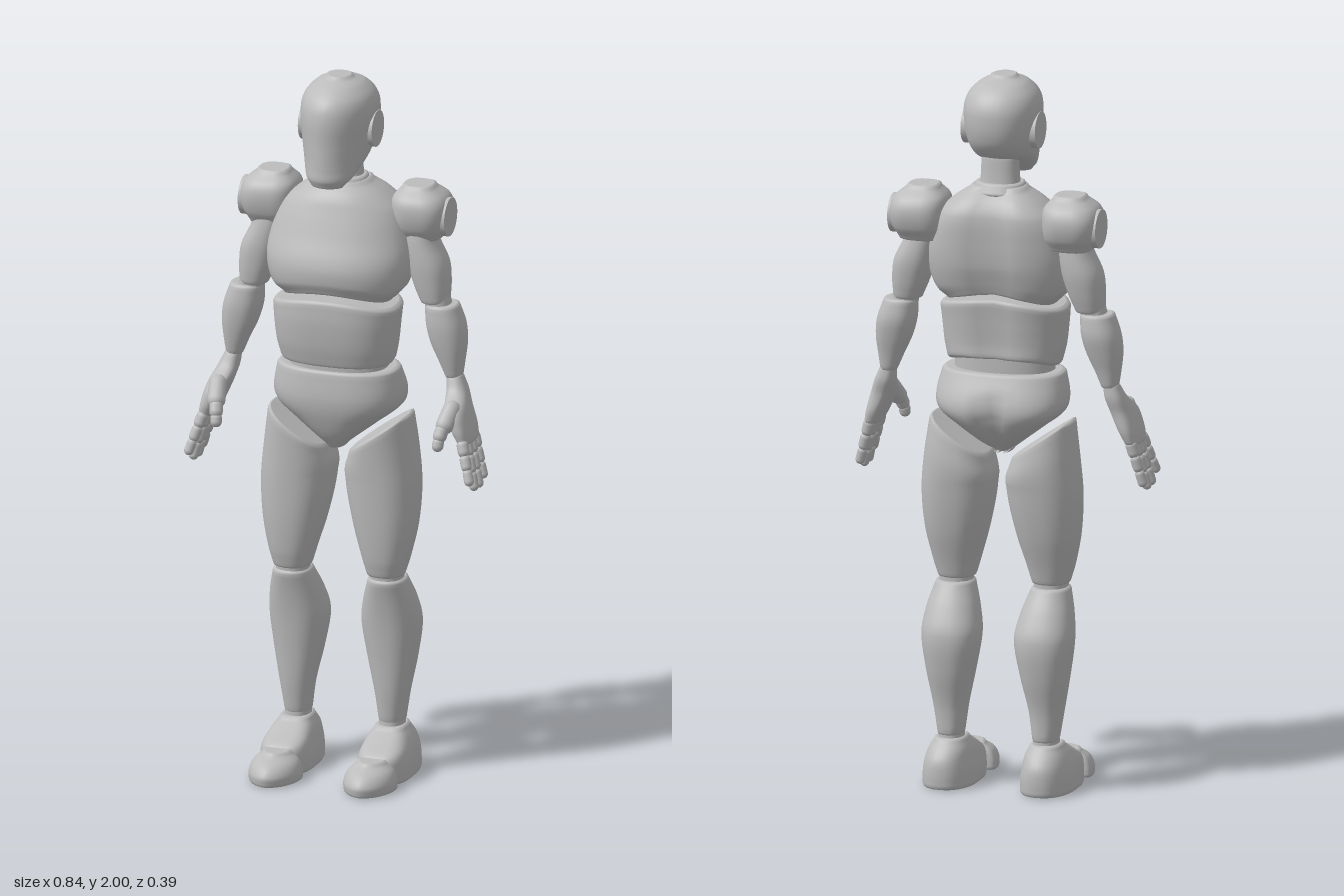
import * as THREE from 'three';

const grey = new THREE.MeshStandardMaterial({ color: 0xbcbcbc });
grey.name = 'plainGrey';

const SIDES = 36, STEPS = 5;
const clamp = (v) => Math.min(1, Math.max(0, v));
const bump = (x, w) => Math.exp(-((x / w) ** 2));

// Smoothly fill in between the given cross-sections (first value is height)
function smoothRows(rows) {
  const out = [];
  const slope = (i, k) => {
    const a = rows[Math.max(0, i - 1)], b = rows[Math.min(rows.length - 1, i + 1)];
    return (b[k] - a[k]) / (b[0] - a[0]);
  };
  for (let i = 0; i < rows.length - 1; i++) {
    const h = rows[i + 1][0] - rows[i][0];
    for (let s = 0; s < STEPS; s++) {
      const t = s / STEPS, t2 = t * t, t3 = t2 * t;
      out.push(rows[i].map((v, k) => k === 0 ? v + h * t :
        (2 * t3 - 3 * t2 + 1) * v + (t3 - 2 * t2 + t) * h * slope(i, k) +
        (3 * t2 - 2 * t3) * rows[i + 1][k] + (t3 - t2) * h * slope(i + 1, k)));
    }
  }
  out.push(rows[rows.length - 1]);
  return out;
}

// Shrink a cross-section towards its middle, for the bevelled ends
function inset([y, x, rx, zb, zf], dy, d) {
  const m = (zb + zf) / 2, h = (zf - zb) / 2;
  const k = 1 - d / Math.min(rx, h);
  return [y + dy, x, rx * k, m - h * k, m + h * k];
}

// Stack of rounded cross-sections [y, x, halfWidth, zBack, zFront]
function loft(name, rows, { back = 2.3, front = 2.3, mid = 0.5, bevel = 0.008, warp } = {}) {
  const body = smoothRows(rows);
  const first = body[0], last = body[body.length - 1];
  const rings = [inset(first, -bevel, bevel), inset(first, -bevel * 0.7, bevel * 0.3), ...body,
    inset(last, bevel * 0.7, bevel * 0.3), inset(last, bevel, bevel)];
  const pos = [], index = [];
  const addRing = ([y, x, rx, zb, zf]) => {
    const zc = zb + (zf - zb) * mid;
    for (let j = 0; j < SIDES; j++) {
      const a = (j / SIDES) * Math.PI * 2, c = Math.cos(a), s = Math.sin(a);
      const e = 2 / (s < 0 ? back : front);
      const p = new THREE.Vector3(
        x + rx * Math.sign(c) * Math.abs(c) ** e, y,
        zc + (s < 0 ? zc - zb : zf - zc) * Math.sign(s) * Math.abs(s) ** e);
      if (warp) warp(p);
      pos.push(p.x, p.y, p.z);
    }
  };
  rings.forEach(addRing);
  for (let i = 0; i < rings.length - 1; i++) {
    for (let j = 0; j < SIDES; j++) {
      const a = i * SIDES + j, b = i * SIDES + (j + 1) % SIDES;
      index.push(a, a + SIDES, b, b, a + SIDES, b + SIDES);
    }
  }
  // End caps with their own vertices, so the rim stays crisp
  for (const top of [false, true]) {
    const base = pos.length / 3;
    const ring = top ? rings[rings.length - 1] : rings[0];
    addRing(ring);
    const c = new THREE.Vector3(ring[1], ring[0], (ring[3] + ring[4]) / 2);
    if (warp) warp(c);
    pos.push(c.x, c.y, c.z);
    for (let j = 0; j < SIDES; j++) {
      const a = base + j, b = base + (j + 1) % SIDES;
      index.push(base + SIDES, top ? b : a, top ? a : b);
    }
  }
  const g = new THREE.BufferGeometry();
  g.setAttribute('position', new THREE.Float32BufferAttribute(pos, 3));
  g.setIndex(index);
  g.computeVertexNormals();
  return part(name, g);
}

function part(name, geometry) {
  const m = new THREE.Mesh(geometry, grey);
  m.name = name;
  return m;
}

// Rounded rod between two points
function rod(name, a, b, r) {
  const p = new THREE.Vector3(...a), q = new THREE.Vector3(...b), d = q.clone().sub(p);
  const m = part(name, new THREE.CapsuleGeometry(r, Math.max(0.001, d.length() - 1.4 * r), 5, 14));
  m.position.copy(p).add(q).multiplyScalar(0.5);
  m.quaternion.setFromUnitVectors(new THREE.Vector3(0, 1, 0), d.normalize());
  return m;
}

// Round plate facing sideways
function disc(name, x, y, z, r, depth) {
  const m = part(name, new THREE.CylinderGeometry(r, r, depth, 32));
  m.rotation.z = Math.PI / 2;
  m.position.set(x, y, z);
  return m;
}

function torso() {
  const g = new THREE.Group();
  g.name = 'torso';
  const arch = (p, side) => 0.035 * (1 - clamp((p.x / side) ** 2));
  g.add(
    loft('head', [[1.713, 0, .048, .03, .092], [1.73, 0, .064, -.01, .1], [1.755, 0, .077, -.07, .1],
      [1.785, 0, .088, -.13, .1], [1.83, 0, .098, -.165, .1], [1.9, 0, .105, -.175, .1],
      [1.945, 0, .096, -.16, .085], [1.977, 0, .068, -.125, .045], [1.993, 0, .038, -.08, 0]],
    { back: 2.2, front: 1.95, mid: 0.45, bevel: 0.007 }),
    loft('neck', [[1.66, 0, .065, -.13, -.02], [1.71, 0, .055, -.12, -.035], [1.78, 0, .052, -.115, -.04]]),
    loft('neckRing', [[1.68, 0, .078, -.145, -.005], [1.7, 0, .068, -.135, -.015]], { bevel: 0.006 }),
    // Chest with arched lower edge and a hollow along the spine
    loft('chest', [[1.37, 0, .155, -.16, .08], [1.41, 0, .19, -.17, .092], [1.48, 0, .205, -.185, .092],
      [1.55, 0, .195, -.192, .065], [1.62, 0, .168, -.192, .038], [1.66, 0, .125, -.175, .02],
      [1.69, 0, .08, -.145, -.01]],
    { back: 2.9, front: 2.2, warp: (p) => {
      if (p.z < -0.1) p.z += 0.02 * bump(p.x, 0.045) * clamp((p.z + 0.1) / -0.05);
      p.y += arch(p, 0.16) * clamp((1.48 - p.y) / 0.11);
    } }),
    loft('abdomen', [[1.195, 0, .158, -.142, .07], [1.24, 0, .168, -.142, .082],
      [1.3, 0, .174, -.148, .092], [1.345, 0, .178, -.155, .092]],
    { back: 2.6, front: 2.6, warp: (p) => {
      p.y += arch(p, 0.18) * 0.8 * clamp((p.y - 1.25) / 0.1);
      if (p.z < -0.05) p.y += 0.025 * clamp((1.3 - p.y) / 0.1) * clamp((p.z + 0.05) / -0.08);
      if (p.z < -0.1) p.z += 0.014 * bump(p.x, 0.04);
    } }),
    loft('waistJoint', [[1.12, 0, .14, -.125, .055], [1.23, 0, .14, -.125, .055]]),
    // Pelvis tapers to the crotch; the seat is cleft at the back
    loft('pelvis', [[.945, 0, .025, -.1, .015], [.98, 0, .07, -.135, .04], [1.02, 0, .122, -.168, .058],
      [1.06, 0, .172, -.185, .07], [1.1, 0, .184, -.18, .074], [1.165, 0, .172, -.15, .068]],
    { back: 2.5, front: 2.5, warp: (p) => {
      if (p.z < -0.08) p.z += 0.03 * bump(p.x, 0.03) * clamp((1.13 - p.y) / 0.08);
    } }));
  for (const s of [-1, 1]) g.add(disc('earPlate', s * 0.098, 1.85, -0.052, 0.051, 0.018));
  return g;
}

function arm(s) {
  const g = new THREE.Group();
  g.name = s > 0 ? 'leftArm' : 'rightArm';
  const side = (rows) => rows.map(([y, x, ...rest]) => [y, s * x, ...rest]);
  g.add(
    loft('shoulderPad', side([[1.545, .215, .062, -.165, -.045], [1.575, .217, .076, -.185, -.027],
      [1.62, .219, .08, -.194, -.018], [1.655, .215, .073, -.182, -.026], [1.682, .21, .046, -.15, -.056]]),
    { back: 2.8, front: 2.8, bevel: 0.008 }),
    disc('shoulderPlate', s * 0.288, 1.6, -0.105, 0.054, 0.022),
    loft('upperArm', side([[1.368, .261, .04, -.132, -.04], [1.41, .253, .05, -.143, -.034],
      [1.47, .241, .056, -.152, -.03], [1.53, .222, .047, -.148, -.034], [1.57, .215, .042, -.14, -.04]])),
    loft('elbow', side([[1.33, .277, .036, -.125, -.045], [1.39, .263, .036, -.125, -.045]])),
    loft('forearm', side([[1.158, .317, .024, -.113, -.053], [1.2, .311, .036, -.122, -.043],
      [1.25, .302, .05, -.135, -.034], [1.3, .293, .054, -.144, -.03], [1.35, .283, .047, -.138, -.034]])),
    loft('palm', side([[.995, .374, .021, -.095, .026], [1.03, .362, .027, -.103, .03],
      [1.08, .344, .031, -.103, .018], [1.12, .331, .028, -.11, -.035], [1.155, .321, .022, -.108, -.055]]),
    { back: 2.6, front: 2.6, bevel: 0.007 }));
  // Four splayed fingers of three joints each, then the thumb
  const fingers = [[.015, .048, .885], [-.018, .008, .86], [-.049, -.031, .857], [-.08, -.068, .872]];
  fingers.forEach(([z0, z1, y1]) => {
    for (let k = 0; k < 3; k++) {
      const at = (t) => [s * (.374 + .034 * t), 1 + (y1 + .004 - 1) * t, z0 + (z1 - z0) * t];
      g.add(rod('finger', at(k / 3), at((k + 1) / 3), .0165 - k * .0015));
    }
  });
  g.add(rod('thumb', [s * .341, 1.095, -.015], [s * .328, 1.035, .045], .025),
    rod('thumb', [s * .328, 1.045, .04], [s * .322, 1.01, .06], .019),
    rod('thumb', [s * .322, 1.015, .057], [s * .32, .985, .066], .016));
  return g;
}

function leg(s) {
  const g = new THREE.Group();
  g.name = s > 0 ? 'leftLeg' : 'rightLeg';
  const side = (rows) => rows.map(([y, x, ...rest]) => [y, s * x, ...rest]);
  g.add(
    // Thigh with its top edge cut down towards the crotch
    loft('thigh', side([[.585, .135, .053, -.1, .015], [.63, .135, .066, -.113, .026],
      [.72, .131, .088, -.14, .036], [.83, .123, .102, -.16, .042], [.93, .117, .099, -.168, .046],
      [1.03, .117, .085, -.16, .05]]),
    { warp: (p) => { p.y -= 0.11 * clamp((p.y - 0.85) / 0.18) * clamp((0.19 - Math.abs(p.x)) / 0.16); } }),
    loft('knee', side([[.54, .136, .046, -.095, .002], [.61, .136, .046, -.095, .005]])),
    loft('shin', side([[.15, .136, .036, -.138, -.045], [.23, .137, .048, -.145, -.034],
      [.33, .135, .068, -.168, -.025], [.43, .133, .082, -.177, -.014], [.5, .135, .072, -.15, -.002],
      [.56, .137, .054, -.115, .012]])),
    loft('ankle', side([[.11, .136, .036, -.135, -.045], [.17, .136, .034, -.132, -.048]])),
    loft('foot', side([[.008, .14, .074, -.19, .062], [.045, .14, .073, -.192, .066],
      [.078, .14, .067, -.188, .06], [.105, .138, .058, -.172, .012], [.128, .137, .045, -.15, -.03]]),
    { back: 2.3, front: 3.4, bevel: 0.008 }),
    loft('toeCap', side([[.008, .137, .073, .062, .192], [.03, .137, .072, .062, .194],
      [.055, .137, .062, .064, .172], [.074, .137, .042, .068, .13]]),
    { back: 6, front: 1.75, mid: 0.25, bevel: 0.007 }));
  return g;
}

export function createModel() {
  const model = new THREE.Group();
  model.name = 'jointedFigure';
  model.add(torso());
  for (const s of [-1, 1]) model.add(arm(s), leg(s));
  return model;
}
